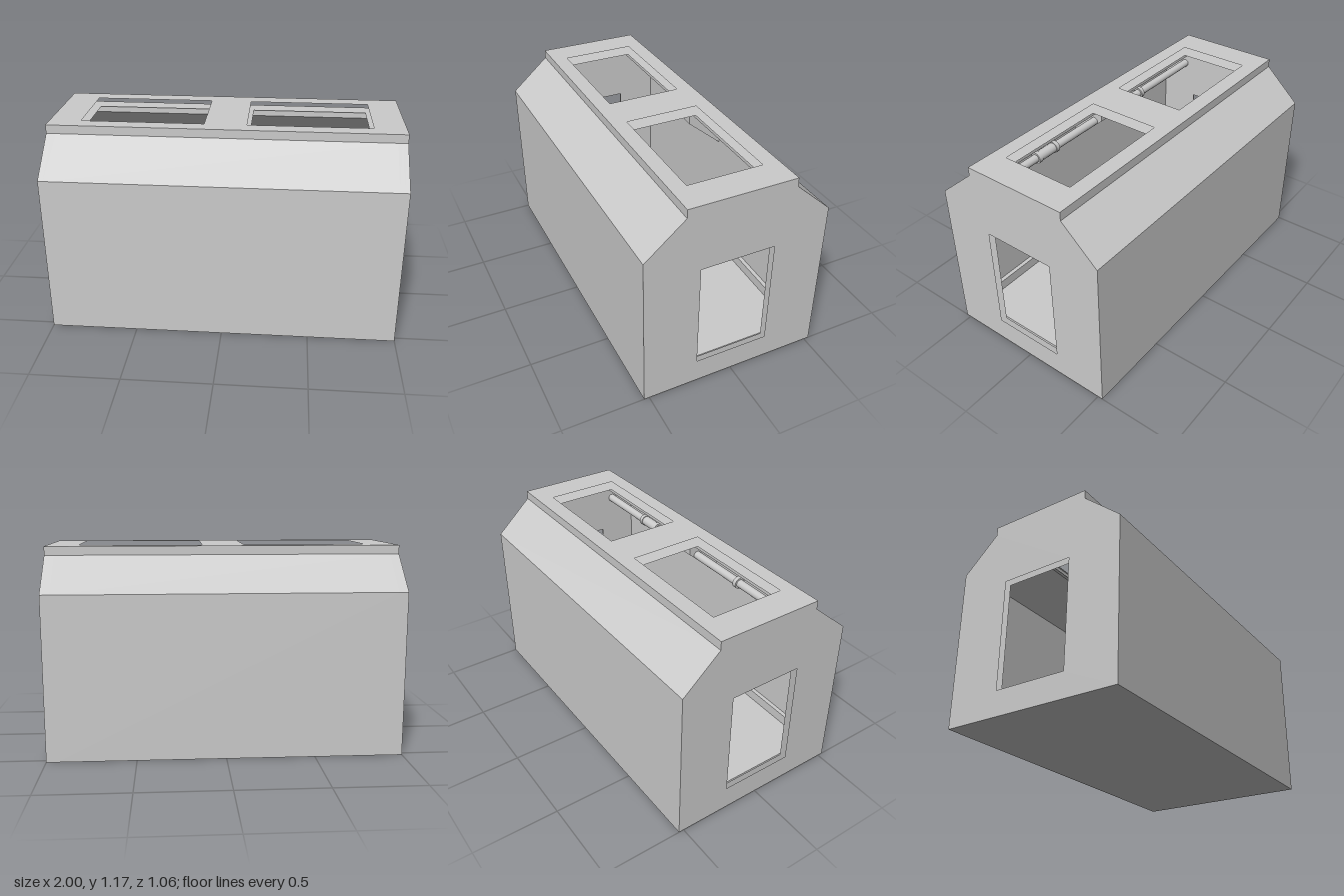
import * as THREE from 'three';

const grey = new THREE.MeshStandardMaterial({ color: 0xcccccc, flatShading: true });
const smooth = new THREE.MeshStandardMaterial({ color: 0xcccccc });

const rect = (x0, y0, x1, y1) => [[x0, y0], [x1, y0], [x1, y1], [x0, y1]];
const toPoints = (pts) => pts.map(([x, y]) => new THREE.Vector2(x, y));

function extrude(outline, holes, depth) {
  const shape = new THREE.Shape(toPoints(outline));
  for (const h of holes) shape.holes.push(new THREE.Path(toPoints(h)));
  return new THREE.ExtrudeGeometry(shape, { depth, bevelEnabled: false });
}

// Section given as [z, y] pairs, swept from x0 to x1
function sweepX(outline, holes, x0, x1) {
  const flip = (pts) => pts.map(([z, y]) => [-z, y]);
  return extrude(flip(outline), holes.map(flip), x1 - x0).rotateY(Math.PI / 2).translate(x0, 0, 0);
}

// Plate given as [x, z] pairs, from y0 up to y1
function plateY(outline, holes, y0, y1) {
  const flip = (pts) => pts.map(([x, z]) => [x, -z]);
  return extrude(flip(outline), holes.map(flip), y1 - y0).rotateX(-Math.PI / 2).translate(0, y0, 0);
}

export function createModel() {
  const model = new THREE.Group();
  const add = (name, geometry, material = grey) => {
    const mesh = new THREE.Mesh(geometry, material);
    mesh.name = name;
    model.add(mesh);
    return mesh;
  };

  const zFront = 0.303, zBack = -0.315; // roof edges
  const yRoof = 1.125, yTop = 1.175, yCeiling = 1.085;
  const wallZ = 0.44, floorY = 0.12, endX = 0.945;

  // Floor, side walls and sloping shoulders in one section
  add('hullShell', sweepX([
    [0.53, 0], [0.53, 0.93], [zFront, yRoof], [0.23, yRoof], [0.23, yCeiling],
    [wallZ, 0.9], [wallZ, floorY], [-wallZ, floorY], [-wallZ, 0.9],
    [-0.23, yCeiling], [-0.23, yRoof], [zBack, yRoof], [-0.53, 0.93], [-0.53, 0],
  ], [], -endX, endX));

  // End walls, each with a stepped doorway
  const endOutline = [[0.53, 0], [0.53, 0.93], [zFront, yRoof], [zBack, yRoof], [-0.53, 0.93], [-0.53, 0]];
  const doorWide = rect(-0.213, 0.145, 0.215, 0.785);
  const doorNarrow = rect(-0.205, 0.145, 0.204, 0.774);
  for (const s of [-1, 1]) {
    const span = (a, b) => (s > 0 ? [a, b] : [-b, -a]);
    add('endWall', sweepX(endOutline, [doorWide], ...span(0.97, 1)));
    add('doorFrame', sweepX(endOutline, [doorNarrow], ...span(endX, 0.97)));
  }

  // Roof in two layers, the lower one leaving a ledge round the hatches
  const hatches = (x0, x1, z0, z1) => [rect(x0, z0, x1, z1), rect(-x1, z0, -x0, z1)];
  add('roofSlab', plateY(rect(-1, zBack, 1, zFront), hatches(0.12, 0.82, -0.22, 0.213), yRoof, yTop));
  add('hatchLedge', plateY(rect(-endX, -0.23, endX, 0.23), hatches(0.137, 0.81, -0.21, 0.203), yCeiling, yRoof));

  for (const s of [-1, 1]) {
    // Rib under each shoulder at mid length
    add('shoulderRib', sweepX([
      [s * wallZ, 0.9], [s * 0.23, yCeiling], [s * 0.23, 1.01], [s * wallZ, 0.835],
    ], [], -0.03, 0.03));
    // Skirting along each side wall
    add('skirting', new THREE.BoxGeometry(endX * 2, 0.06, 0.025).translate(0, floorY + 0.03, s * (wallZ - 0.0125)));
  }

  // Ceiling pipe with couplings, on the front side
  const pipePart = (name, x, length, radius) => {
    const pipe = add(name, new THREE.CylinderGeometry(radius, radius, length, 20), smooth);
    pipe.rotation.z = Math.PI / 2;
    pipe.position.set(x, 0.995, 0.285);
  };
  pipePart('pipe', 0, endX * 2, 0.024);
  pipePart('pipeCoupling', 0.46, 0.12, 0.03);
  for (const x of [0.53, 0.39, -0.417]) pipePart('pipeCollar', x, 0.025, 0.034);

  return model;
}
